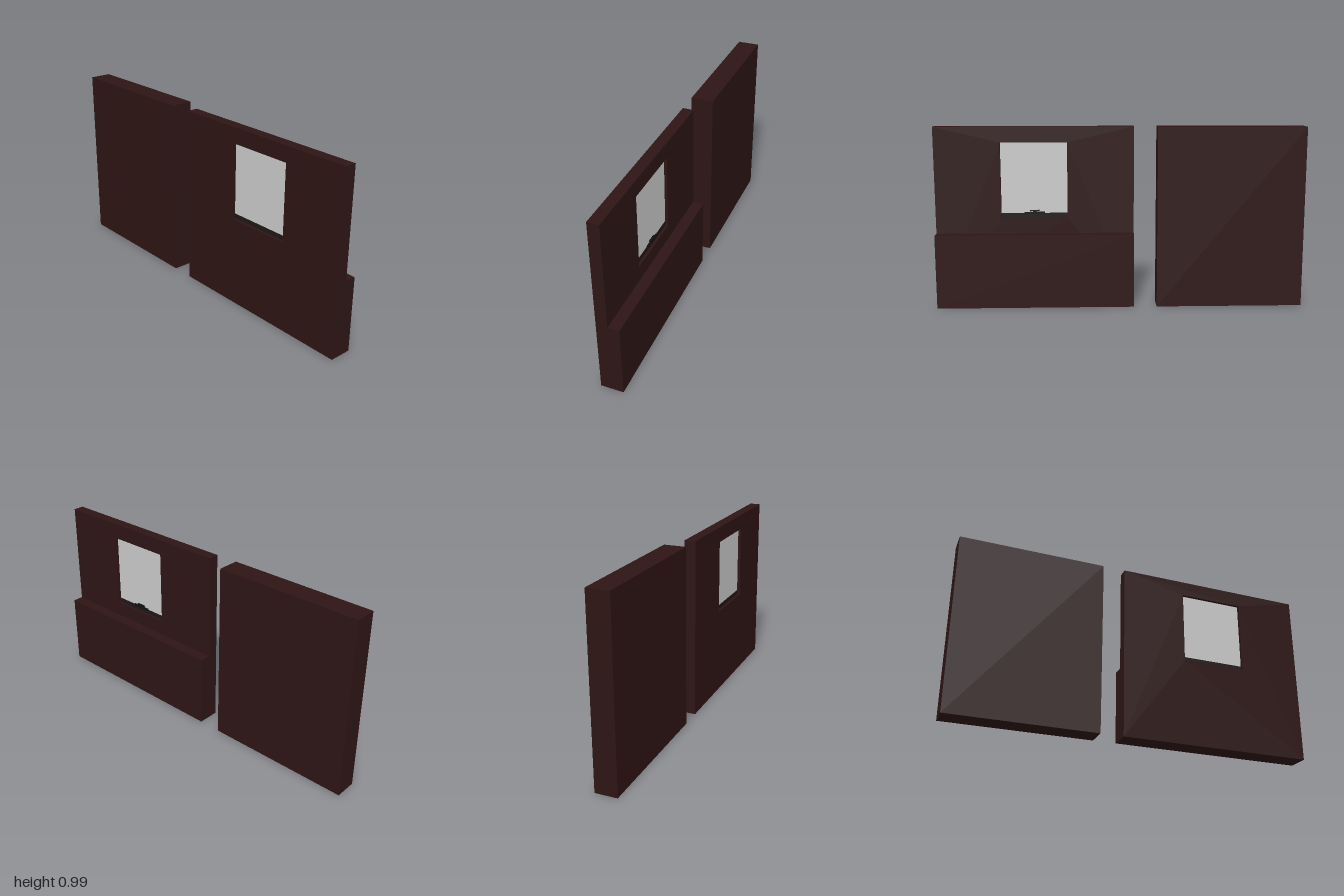
import * as THREE from 'three';

const HEIGHT = 0.985;
const HALF = 0.06; // half of the wall thickness

function material(color) {
  return new THREE.MeshStandardMaterial({ color });
}

// Box given by its [min, max] range on each axis
function block(name, [x0, x1], [y0, y1], [z0, z1], mat) {
  const mesh = new THREE.Mesh(new THREE.BoxGeometry(x1 - x0, y1 - y0, z1 - z0), mat);
  mesh.position.set((x0 + x1) / 2, (y0 + y1) / 2, (z0 + z1) / 2);
  mesh.name = name;
  return mesh;
}

function rectangle(target, x0, y0, x1, y1) {
  target.moveTo(x0, y0).lineTo(x1, y0).lineTo(x1, y1).lineTo(x0, y1).closePath();
  return target;
}

export function createModel() {
  const model = new THREE.Group();
  model.name = 'wallSection';
  const wallMat = material(0x2e1515);
  const railMat = material(0x1f1717);
  const latchMat = material(0x121010);

  // Thin wall with the window opening, drawn in (-z, y) and turned to face x
  const outline = rectangle(new THREE.Shape(), -1, 0, 0.075, HEIGHT);
  outline.holes.push(rectangle(new THREE.Path(), -0.645, 0.49, -0.285, 0.9));
  const wallGeo = new THREE.ExtrudeGeometry(outline, { depth: HALF, bevelEnabled: false });
  wallGeo.rotateY(Math.PI / 2).translate(-HALF, 0, 0);
  const windowWall = new THREE.Mesh(wallGeo, wallMat);
  windowWall.name = 'windowWall';
  model.add(windowWall);

  // Low ledge in front of the window wall, and the thick solid wall
  model.add(block('lowerLedge', [0, HALF], [0, 0.405], [-0.075, 1], wallMat));
  model.add(block('solidWall', [-HALF, HALF], [0, HEIGHT], [-1, -0.2], wallMat));

  // Window: pane, bottom rail and latch
  const win = new THREE.Group();
  win.name = 'window';
  win.add(block('pane', [-0.044, -0.016], [0.515, 0.9], [0.285, 0.645], material(0xcccccc)));
  win.add(block('bottomRail', [-0.046, -0.014], [0.49, 0.515], [0.285, 0.645], railMat));
  win.add(block('latchBase', [-0.016, -0.006], [0.511, 0.521], [0.41, 0.52], latchMat));
  win.add(block('latchStem', [-0.014, -0.008], [0.521, 0.526], [0.455, 0.475], latchMat));
  win.add(block('latchHandle', [-0.016, -0.004], [0.526, 0.532], [0.44, 0.49], latchMat));
  model.add(win);

  return model;
}
